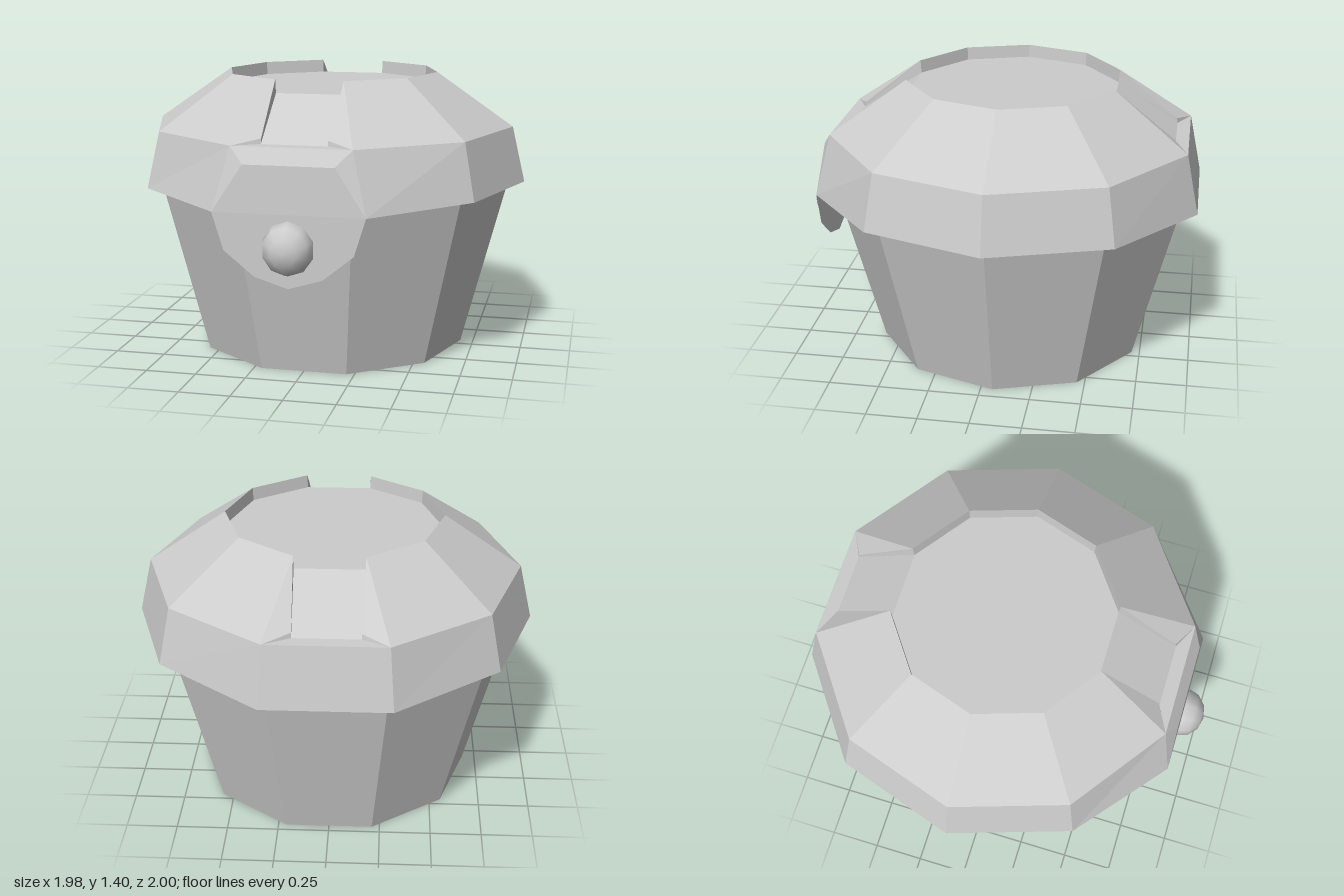
import * as THREE from 'three';

const CZ = -0.058; // pot axis sits slightly behind the origin
const SIDES = 10;
const V = (x, y, z) => [x, y, z];

// Decagon ring of radius r at height y, around the pot axis
const ring = (r, y) => Array.from({ length: SIDES }, (_, k) => {
  const a = (k / SIDES) * Math.PI * 2;
  return V(r * Math.cos(a), y, r * Math.sin(a));
});

// Flat faces between two rings, leaving out the listed sides
const band = (lo, hi, skip = []) => lo
  .map((_, k) => k)
  .filter((k) => !skip.includes(k))
  .map((k) => {
    const n = (k + 1) % SIDES;
    return [lo[n], lo[k], hi[k], hi[n]];
  });

// Mirror faces across x, keeping them facing outward
const mirrored = (faces) => faces.map((f) => f.map(([x, y, z]) => V(-x, y, z)).reverse());

// Flat-shaded mesh from convex polygons
function facets(name, faces, material) {
  const pos = [];
  for (const f of faces) {
    for (let i = 1; i < f.length - 1; i++) pos.push(...f[0], ...f[i], ...f[i + 1]);
  }
  const g = new THREE.BufferGeometry();
  g.setAttribute('position', new THREE.Float32BufferAttribute(pos, 3));
  g.computeVertexNormals();
  const mesh = new THREE.Mesh(g, material);
  mesh.name = name;
  return mesh;
}

export function createModel() {
  const grey = new THREE.MeshStandardMaterial({ color: 0xcccccc, side: THREE.DoubleSide });
  grey.name = 'plain grey';

  const model = new THREE.Group();
  model.name = 'liddedPot';
  const pot = new THREE.Group();
  pot.name = 'pot';
  pot.position.z = CZ;
  model.add(pot);

  const FRONT = 2, BACK = 7;

  // Tapered body, running up under the lid
  const base = ring(0.685, 0);
  pot.add(facets('body', [...band(base, ring(0.95, 1.015)), base], grey));

  // Lid rim, dipping a little at front and back
  const rimLow = ring(0.99, 0.858);
  const rimHigh = ring(0.925, 1.135);
  rimLow[2] = V(0.36, 0.838, 0.943);
  rimLow[3] = V(-0.36, 0.838, 0.943);
  rimLow[7][1] = rimLow[8][1] = 0.838;
  pot.add(facets('lidRim', band(rimLow, rimHigh, [FRONT]), grey));

  // Sloping lid top, open at the two grooves
  const lidTop = ring(0.54, 1.4);
  pot.add(facets('lidSlope', band(rimHigh, lidTop, [FRONT, BACK]), grey));

  // Sunken centre of the lid
  const floor = ring(0.535, 1.335);
  pot.add(facets('lidRecessWall', band(lidTop, floor, [FRONT, BACK]), grey));
  pot.add(facets('lidRecessFloor', [[...floor].reverse()], grey));

  // Grooves running down the lid, front and back
  const T = lidTop[2], F = floor[2], E = rimHigh[2];
  const G = V(0.157, 1.137, 0.815), W = V(0.157, 1.162, 0.81);
  const flip = ([x, y, z]) => V(-x, y, z);
  const sides = [[F, G, W, T], [T, W, E], [W, G, E]];
  const groove = [
    [flip(G), G, F, flip(F)],
    [flip(E), E, G, flip(G)],
    ...sides, ...mirrored(sides),
  ];
  for (const [name, turn] of [['frontGroove', 0], ['backGroove', Math.PI]]) {
    const mesh = facets(name, groove, grey);
    mesh.rotation.y = turn;
    pot.add(mesh);
  }

  // Latch plate hanging from the front of the rim
  const A = rimLow[2], B = V(0.215, 1.06, 0.93);
  const outline = [[-0.36, 0.838], [-0.305, 0.66], [-0.16, 0.542], [0, 0.493],
    [0.16, 0.542], [0.305, 0.66], [0.36, 0.838]].map(([x, y]) => V(x, y, 0.943));
  const cheek = [[A, E, B]];
  pot.add(facets('latchPlate', [
    outline,
    [flip(A), A, B, flip(B)],
    [flip(B), B, E, flip(E)],
    ...cheek, ...mirrored(cheek),
  ], grey));

  // Domed button on the latch
  const dome = new THREE.SphereGeometry(1, 10, 3, 0, Math.PI * 2, 0, Math.PI / 2);
  dome.rotateX(Math.PI / 2).rotateZ(Math.PI / 2).scale(0.124, 0.128, 0.113);
  const button = new THREE.Mesh(dome, grey);
  button.name = 'latchButton';
  button.position.set(0, 0.682, 0.944);
  pot.add(button);

  return model;
}
